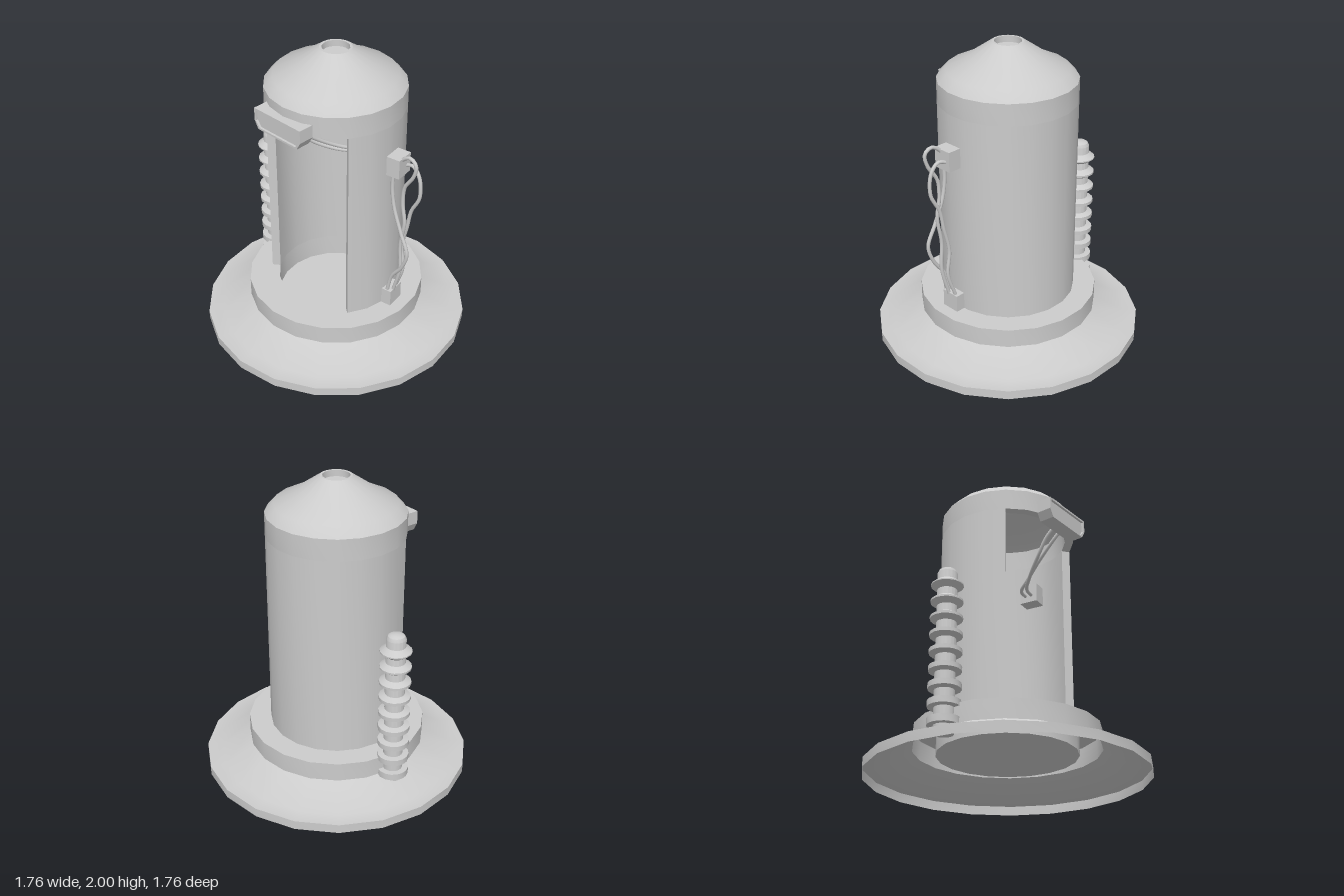
import * as THREE from 'three';
import { toCreasedNormals } from 'three/addons/utils/BufferGeometryUtils.js';

const grey = new THREE.MeshStandardMaterial({ color: 0xcccccc, side: THREE.DoubleSide });
const SIDES = 20;
const STEP = (Math.PI * 2) / SIDES;
const R_OUT = 0.44, R_IN = 0.385;

function add(parent, name, geometry, x = 0, y = 0, z = 0) {
  const mesh = new THREE.Mesh(geometry, grey);
  mesh.name = name;
  mesh.position.set(x, y, z);
  parent.add(mesh);
  return mesh;
}

// Lathe from [radius, height] pairs, smooth around and sharp at strong bends
function turned(points, sides = SIDES, start = 0, length = Math.PI * 2) {
  const profile = points.map(([r, y]) => new THREE.Vector2(r, y));
  return toCreasedNormals(new THREE.LatheGeometry(profile, sides, start, length), 0.55);
}

// Closed rectangular wall section
const wallSection = (y0, y1) => [[R_IN, y0], [R_OUT, y0], [R_OUT, y1], [R_IN, y1], [R_IN, y0]];

function wire(parent, name, points) {
  const curve = new THREE.CatmullRomCurve3(points.map(p => new THREE.Vector3(...p)));
  add(parent, name, new THREE.TubeGeometry(curve, 48, 0.012, 8));
}

function plaqueShape(s) {
  const w = 0.193 - s, top = 0.067 - s, bottom = -0.067 + s;
  return new THREE.Shape([[-w, top], [-w, -0.015], [-w + 0.03, bottom], [w - 0.03, bottom], [w, -0.015], [w, top]]
    .map(([x, y]) => new THREE.Vector2(x, y)));
}

function makeBody() {
  const body = new THREE.Group();
  body.name = 'body';
  // Sunken foot with closed floor, passing down through the base
  add(body, 'bodyFoot', turned([[0, 0.14], [R_OUT, 0.14], [R_OUT, 0.3], [R_IN, 0.3], [R_IN, 0.145], [0, 0.145]]));
  // Wall with an opening six sides wide at the front
  add(body, 'bodyWall', turned(wallSection(0.3, 1.63), SIDES - 6, 3 * STEP, (SIDES - 6) * STEP));
  for (const side of [-1, 1]) {
    const a = side * 3 * STEP, r = (R_IN + R_OUT) / 2;
    const jamb = add(body, 'openingJamb', new THREE.PlaneGeometry(R_OUT - R_IN, 1.33),
      r * Math.sin(a), 0.965, r * Math.cos(a));
    jamb.rotation.y = a - Math.PI / 2;
  }
  add(body, 'bodyHeader', turned(wallSection(1.63, 1.77)));
  // Domed cap with a shallow socket on top
  add(body, 'dome', turned([[R_OUT, 1.77], [0.385, 1.83], [0.26, 1.89], [0.1, 2], [0.085, 2], [0.085, 1.96], [0, 1.96]]));
  return body;
}

function makeInsulator() {
  const insulator = new THREE.Group();
  insulator.name = 'insulator';
  insulator.position.x = -0.595;
  add(insulator, 'insulatorCore', turned([[0, 0.12], [0.062, 0.12], [0.062, 1.145], [0.052, 1.165], [0.035, 1.175], [0, 1.178]], 16));
  // Discs change from sharp rims at the top to flat slabs at the bottom
  for (let i = 0; i < 9; i++) {
    const t = i / 8;
    const rim = 0.022 - 0.018 * t;
    const root = 0.022 + 0.012 * t;
    const disc = turned([[0.06, -root], [0.1, -rim], [0.1, rim], [0.06, root]], 16);
    add(insulator, 'insulatorDisc', disc, 0, 0.19 + 0.109 * i, 0);
  }
  return insulator;
}

function makePlaque() {
  const plaque = new THREE.Group();
  plaque.name = 'plaque';
  plaque.position.set(0, 1.643, 0.39);
  add(plaque, 'plaqueBack', new THREE.ExtrudeGeometry(plaqueShape(0), { depth: 0.085, bevelEnabled: false }));
  const frame = plaqueShape(0);
  frame.holes.push(plaqueShape(0.012));
  add(plaque, 'plaqueFrame', new THREE.ExtrudeGeometry(frame, { depth: 0.015, bevelEnabled: false }), 0, 0, 0.085);
  return plaque;
}

function makeWiring() {
  const wiring = new THREE.Group();
  wiring.name = 'wiring';
  // Junction boxes, square to the wall side they sit on
  const upper = add(wiring, 'upperJunctionBox', new THREE.BoxGeometry(0.09, 0.13, 0.125), 0.48, 1.375, -0.045);
  const lower = add(wiring, 'lowerJunctionBox', new THREE.BoxGeometry(0.07, 0.115, 0.125), 0.462, 0.357, -0.045);
  const inner = add(wiring, 'innerJunctionBox', new THREE.BoxGeometry(0.11, 0.13, 0.125), 0.335, 1.375, -0.045);
  for (const box of [upper, lower, inner]) box.rotation.y = STEP / 2;

  // Outer wires, swaying between the two boxes
  wire(wiring, 'outerWire', [[0.5, 1.4, -0.03], [0.535, 1.44, -0.03], [0.585, 1.465, -0.03], [0.63, 1.43, -0.03], [0.615, 1.35, -0.03],
    [0.55, 1.24, -0.03], [0.54, 1.12, -0.03], [0.56, 0.98, -0.03], [0.535, 0.8, -0.03], [0.54, 0.6, -0.03], [0.49, 0.4, -0.03]]);
  wire(wiring, 'outerWire', [[0.5, 1.36, -0.078], [0.57, 1.38, -0.078], [0.62, 1.32, -0.078], [0.63, 1.18, -0.078], [0.57, 1.05, -0.078],
    [0.545, 0.92, -0.078], [0.51, 0.75, -0.078], [0.525, 0.58, -0.078], [0.47, 0.4, -0.078]]);
  wire(wiring, 'outerWire', [[0.48, 1.33, 0], [0.48, 1.2, 0], [0.5, 1.08, 0], [0.56, 0.92, 0], [0.615, 0.78, 0],
    [0.58, 0.66, 0], [0.5, 0.54, 0], [0.465, 0.4, 0]]);

  // Inner wires from the plaque back to the wall
  for (const [dx, dz] of [[0, 0], [0.065, -0.045]]) {
    wire(wiring, 'innerWire', [[dx, 1.63, 0.4], [dx, 1.56, 0.32], [0.025 + dx, 1.46, 0.23 + dz],
      [0.1 + dx * 0.6, 1.385 + dx * 0.1, 0.11 + dz], [0.2, 1.36, 0.01 + dz], [0.3, 1.36, -0.02 + dz]]);
  }
  return wiring;
}

export function createModel() {
  const model = new THREE.Group();
  model.name = 'machine';
  // Hollow flared base with a raised collar
  add(model, 'base', turned([[0.88, 0], [0.88, 0.06], [0.78, 0.06], [0.585, 0.175], [0.585, 0.3], [R_OUT, 0.3]]));
  model.add(makeBody(), makeInsulator(), makePlaque(), makeWiring());
  return model;
}
